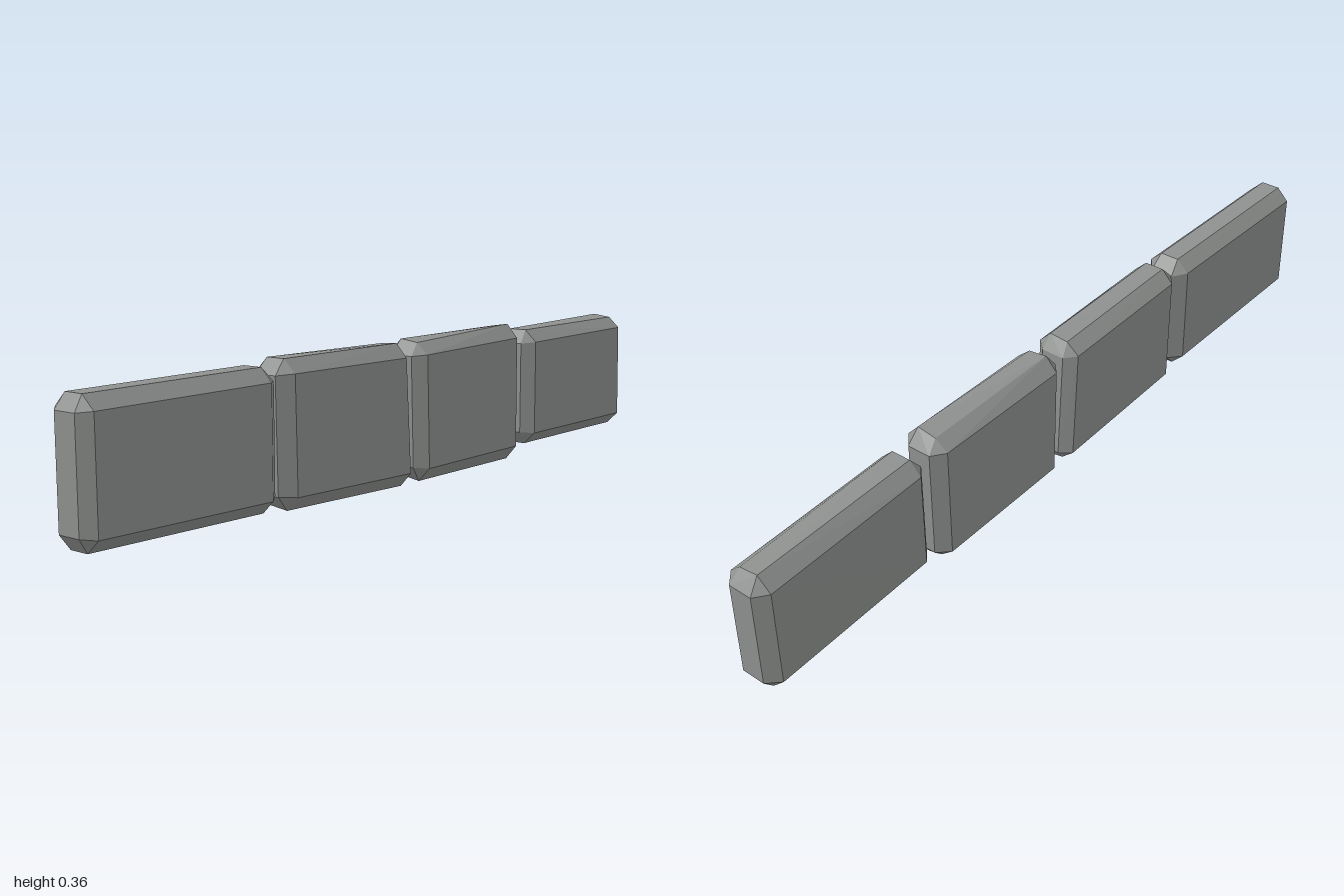
import * as THREE from 'three';
import { ConvexGeometry } from 'three/addons/geometries/ConvexGeometry.js';

const material = new THREE.MeshStandardMaterial({ color: 0x8e918f, flatShading: true });

// Corners run bottom-left, bottom-right, top-right, top-left as
// [x, y, z shift, ridge tilt]; bevel holds the left and right bevel widths.
const stones = [
  { name: 'stoneFarRight', bevel: [0.025, 0.035], corners: [
    [-1, 0.032, -0.005, 0], [-0.46, 0.024, 0.002, 0], [-0.46, 0.345, 0.002, 0], [-1, 0.345, -0.006, 0]] },
  { name: 'stoneMidRight', bevel: [0.035, 0.025], corners: [
    [-0.445, 0.017, -0.003, -0.003], [0.018, 0.006, -0.002, -0.004], [0.002, 0.35, -0.003, 0.002], [-0.45, 0.355, -0.003, 0]] },
  { name: 'stoneMidLeft', bevel: [0.03, 0.03], corners: [
    [0.037, 0.006, -0.002, -0.004], [0.475, 0.006, -0.002, -0.006], [0.475, 0.355, -0.003, 0.004], [0.03, 0.349, -0.003, -0.003]] },
  { name: 'stoneFarLeft', bevel: [0.03, 0.03], corners: [
    [0.495, 0.03, 0.003, 0], [1, 0.027, -0.002, 0], [1, 0.338, -0.005, -0.003], [0.495, 0.337, 0.003, 0]] },
];

// A stone block: each of its eight corners is cut into a small triangular facet
function stoneGeometry({ corners, bevel }) {
  const depth = 0.057, ridge = 0.03, inset = 0.031;
  const points = [];
  corners.forEach(([x, y, shift, tilt], i) => {
    const left = i === 0 || i === 3;
    const dx = left ? bevel[0] : -bevel[1];
    const dy = i < 2 ? inset : -inset;
    for (const s of [1, -1]) {
      points.push(
        new THREE.Vector3(x + dx, y + dy, s * depth + shift),                        // broad face
        new THREE.Vector3(x, y + dy * 1.1, s * ridge + shift),                       // end face
        new THREE.Vector3(x + dx * 0.95, y + s * tilt, s * (ridge - 0.005) + shift), // top or bottom face
      );
    }
  });
  return new ConvexGeometry(points);
}

export function createModel() {
  const row = new THREE.Group();
  row.name = 'stoneRow';
  for (const stone of stones) {
    const mesh = new THREE.Mesh(stoneGeometry(stone), material);
    mesh.name = stone.name;
    row.add(mesh);
  }
  return row;
}
